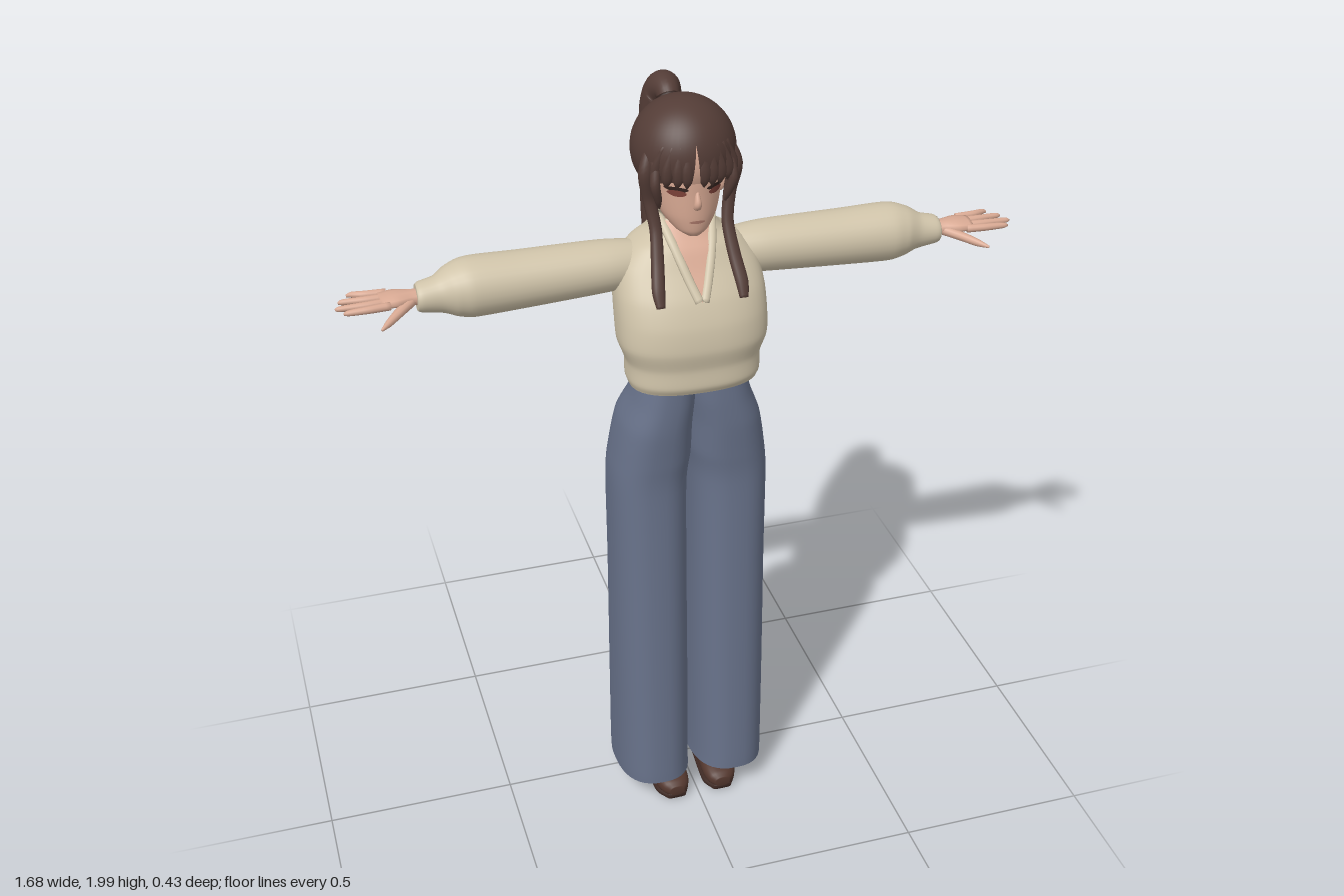
import * as THREE from 'three';

const mat = (name, color) => {
  const m = new THREE.MeshStandardMaterial({ color, side: THREE.DoubleSide });
  m.name = name;
  return m;
};

// Smoothly refine rows of [x, y, z, radiusA, radiusB]
function sample(rows, k = 6) {
  const centre = new THREE.CatmullRomCurve3(rows.map(r => new THREE.Vector3(r[0], r[1], r[2])), false, 'catmullrom', 0.4);
  const radius = new THREE.CatmullRomCurve3(rows.map(r => new THREE.Vector3(r[3], r[4], 0)), false, 'catmullrom', 0.4);
  const n = (rows.length - 1) * k;
  return Array.from({ length: n + 1 }, (_, i) => ({ c: centre.getPoint(i / n), r: radius.getPoint(i / n) }));
}

const spow = (v, p) => Math.sign(v) * Math.abs(v) ** (2 / p);

// Skin superellipse rings along a path; axis fixes the ring direction
function loft(rows, { ref = [1, 0, 0], axis = null, n = 24, k = 6, power = 2, caps = true } = {}) {
  const rings = sample(rows, k), pos = [], idx = [], last = rings.length - 1;
  rings.forEach(({ c, r }, i) => {
    const T = axis ? new THREE.Vector3(...axis)
      : rings[Math.min(i + 1, last)].c.clone().sub(rings[Math.max(i - 1, 0)].c).normalize();
    const S = new THREE.Vector3(...ref);
    S.addScaledVector(T, -S.dot(T)).normalize();
    const N = T.clone().cross(S);
    for (let j = 0; j < n; j++) {
      const a = j / n * Math.PI * 2;
      const p = c.clone().addScaledVector(S, r.x * spow(Math.cos(a), power)).addScaledVector(N, r.y * spow(Math.sin(a), power));
      pos.push(p.x, p.y, p.z);
      if (i < last) {
        const b = (j + 1) % n, o = i * n;
        idx.push(o + j, o + b, o + n + b, o + j, o + n + b, o + n + j);
      }
    }
  });
  if (caps) {
    const e = pos.length / 3, o = last * n;
    pos.push(...rings[0].c.toArray(), ...rings[last].c.toArray());
    for (let j = 0; j < n; j++) {
      const b = (j + 1) % n;
      idx.push(e, b, j, e + 1, o + j, o + b);
    }
  }
  return finish(pos, idx);
}

function finish(pos, idx) {
  const g = new THREE.BufferGeometry();
  g.setAttribute('position', new THREE.Float32BufferAttribute(pos, 3));
  g.setIndex(idx);
  g.computeVertexNormals();
  return g;
}

// Grid surface from a rule; u runs right, v runs up
function patch(fn, nu, nv) {
  const pos = [], idx = [];
  for (let j = 0; j <= nv; j++) for (let i = 0; i <= nu; i++) {
    pos.push(...fn(i / nu, j / nv));
    if (i < nu && j < nv) {
      const a = j * (nu + 1) + i, b = a + nu + 1;
      idx.push(a, a + 1, b + 1, a, b + 1, b);
    }
  }
  return finish(pos, idx);
}

// Front z of an upright loft at (x, y)
function frontZ(rows, x, y, power) {
  const d = sample(rows);
  let i = d.findIndex(s => s.c.y >= y);
  if (i < 1) i = i < 0 ? d.length - 1 : 1;
  const a = d[i - 1], b = d[i], t = Math.min(1, Math.max(0, (y - a.c.y) / (b.c.y - a.c.y)));
  const c = a.c.clone().lerp(b.c, t), r = a.r.clone().lerp(b.r, t);
  return c.z + r.y * Math.max(0, 1 - Math.abs((x - c.x) / r.x) ** power) ** (1 / power);
}

export function createModel() {
  const root = new THREE.Group();
  root.name = 'standingWoman';
  const skin = mat('skin', 0xd9aa94), hair = mat('hair', 0x533c36), knit = mat('sweater', 0xcfc3a9);
  const denim = mat('denim', 0x68728a), leather = mat('shoe', 0x53372e), sole = mat('sole', 0x3f2a24);
  const iris = mat('iris', 0x7d4239), lash = mat('lash', 0x33231f), lip = mat('lip', 0xad7a6b);
  const add = (name, geo, m) => {
    const mesh = new THREE.Mesh(geo, m);
    mesh.name = name;
    root.add(mesh);
    return mesh;
  };
  const up = [0, 1, 0];

  // Sweater body
  const torso = [
    [0, 1.305, .10, .160, .100], [0, 1.325, .10, .166, .108], [0, 1.37, .10, .167, .106], [0, 1.42, .097, .184, .117],
    [0, 1.48, .085, .186, .120], [0, 1.54, .067, .184, .113], [0, 1.60, .042, .172, .098], [0, 1.645, .030, .135, .083],
    [0, 1.67, .022, .092, .069], [0, 1.705, .016, .066, .052]];
  add('sweaterBody', loft(torso, { axis: up, n: 48, power: 2.5, caps: false }), knit);

  // V neckline and its folded edge
  const neckW = v => .056 * v ** .9;
  const vz = (x, y, off) => frontZ(torso, x, y, 2.5) + off;
  add('neckline', patch((u, v) => {
    const y = 1.54 + .163 * v, x = (u * 2 - 1) * neckW(v);
    return [x, y, vz(x, y, .004)];
  }, 10, 16), skin);
  for (const s of [1, -1]) {
    const edge = [0, .25, .5, .75, 1].map(v => {
      const y = 1.54 + .163 * v, x = s * (neckW(v) + .006);
      return [x, y, vz(x, y, .002), .011, .007];
    });
    add('collarEdge', loft([...edge, [s * .067, 1.705, .01, .01, .008], [s * .04, 1.705, -.026, .01, .008], [0, 1.705, -.036, .01, .008]], { ref: [1, 0, .2], n: 10 }), knit);
  }
  add('neck', loft([[0, 1.60, .015, .05, .045], [0, 1.67, .02, .042, .042], [0, 1.77, .03, .042, .045]], { axis: up }), skin);

  // Head and face
  const head = [
    [0, 1.685, .105, .018, .020], [0, 1.70, .088, .042, .045], [0, 1.735, .060, .068, .078], [0, 1.79, .042, .082, .098],
    [0, 1.85, .032, .091, .108], [0, 1.92, .025, .08, .095], [0, 1.965, .02, .04, .05]];
  add('head', loft(head, { axis: up, n: 32 }), skin);
  const decal = (name, x, y, w, h, m, off = .004) => add(name, patch((u, v) => {
    const a = (u * 2 - 1), px = x + a * w, py = y + (v * 2 - 1) * h * Math.sqrt(Math.max(.05, 1 - a * a));
    return [px, py, frontZ(head, px, py, 2) + off];
  }, 8, 4), m);
  add('nose', loft([[0, 1.80, .135, .005, .006], [0, 1.775, .143, .009, .010], [0, 1.762, .136, .010, .009]], { n: 10 }), skin);
  decal('mouth', 0, 1.727, .019, .004, lip);
  for (const s of [1, -1]) {
    decal('upperLash', s * .046, 1.809, .024, .006, lash);
    decal('eye', s * .046, 1.800, .019, .008, iris, .006);
    const ear = add('ear', new THREE.SphereGeometry(1, 14, 10), skin);
    ear.scale.set(.012, .04, .024);
    ear.position.set(s * .09, 1.785, .015);
    ear.rotation.set(-.2, s * .35, 0);
  }

  // Hair cap, low at the nape and high over the face
  const capAt = (phi, th) => [.124 * Math.sin(th) * Math.sin(phi), 1.87 + .122 * Math.cos(th), .023 + .128 * Math.sin(th) * Math.cos(phi)];
  add('hairCap', patch((u, v) => {
    const phi = (u * 2 - 1) * Math.PI, limit = 1.88 + .82 * (1 - Math.cos(phi)) / 2;
    return capAt(phi, (1 - v) * limit);
  }, 48, 24), hair);
  const capZ = (x, y) => .023 + .128 * Math.sqrt(Math.max(0, 1 - (x / .124) ** 2 - ((y - 1.87) / .122) ** 2));
  add('parting', patch((u, v) => {
    const y = 1.825 + .095 * v, x = -.006 + (u - .5) * .02 * (1 - v);
    return [x, y, capZ(x, y) + .004];
  }, 2, 10), skin);

  // Fringe tufts
  for (const x of [-.088, -.066, -.044, -.024, .014, .034, .055, .076, .092]) {
    add('fringe', loft([[x * .8, 1.91, capZ(x * .8, 1.91) - .006, .008, .005], [x, 1.86, capZ(x, 1.86) - .003, .014, .007],
      [x * 1.04, 1.832, capZ(x, 1.84), .012, .006], [x * 1.06, 1.813, capZ(x, 1.83) - .003, .002, .002]], { n: 8, k: 4 }), hair);
  }

  for (const s of [1, -1]) {
    // Long locks beside the face
    add('sideLock', loft([[s * .092, 1.90, .07, .012, .012], [s * .108, 1.84, .085, .018, .016], [s * .098, 1.77, .078, .016, .013],
      [s * .088, 1.70, .095, .015, .012], [s * .094, 1.63, .13, .016, .012], [s * .102, 1.575, .165, .016, .011], [s * .102, 1.54, .186, .011, .007]],
      { n: 12 }), hair);
    add('templeCurl', loft([[s * .088, 1.87, .10, .012, .01], [s * .094, 1.82, .115, .012, .012], [s * .085, 1.78, .108, .009, .008],
      [s * .08, 1.755, .098, .003, .003]], { n: 10 }), hair);

    // Sleeve with gathered cuff
    add('sleeve', loft([[s * .10, 1.59, .03, .052, .055], [s * .2, 1.592, .030, .066, .063], [s * .4, 1.588, .032, .071, .069],
      [s * .52, 1.587, .034, .073, .072], [s * .565, 1.586, .039, .062, .062], [s * .60, 1.584, .044, .043, .045],
      [s * .64, 1.583, .046, .039, .036], [s * .65, 1.583, .046, .034, .031]], { ref: [0, 0, 1], n: 28 }), knit);

    // Hand
    const limb = (name, rows) => add(name, loft(rows.map(([x, ...r]) => [s * x, ...r]), { ref: [0, 0, 1], n: 10, k: 4 }), skin);
    limb('palm', [[.63, 1.583, .046, .024, .020], [.665, 1.587, .048, .027, .017], [.70, 1.590, .051, .039, .015], [.735, 1.590, .053, .036, .011]]);
    [[.012, -.002, .805], [.036, .03, .828], [.060, .062, .838], [.082, .088, .822]].forEach(([z, tz, tx]) => {
      limb('finger', [[.715, 1.590, z + .004, .010, .010], [.765, 1.591, (z + tz) / 2 + .008, .009, .009],
        [tx - .012, 1.589, tz + .004, .007, .007], [tx, 1.587, tz + .003, .002, .003]]);
    });
    limb('thumb', [[.66, 1.583, .06, .012, .012], [.695, 1.577, .095, .013, .011], [.725, 1.570, .128, .009, .009], [.746, 1.566, .152, .003, .003]]);

    // Wide trouser leg with a hem that rises to the front
    const leg = loft([[s * .105, .062, .047, .098, .152], [s * .106, .12, .047, .098, .151], [s * .106, .4, .048, .098, .141],
      [s * .106, .75, .047, .097, .129], [s * .106, 1.0, .047, .098, .120], [s * .097, 1.09, .052, .098, .120], [s * .088, 1.18, .060, .090, .119],
      [s * .073, 1.25, .076, .078, .104], [s * .062, 1.325, .09, .066, .088]], { axis: up, n: 40, power: 2.5, caps: false });
    const p = leg.attributes.position;
    for (let i = 0; i < p.count; i++) {
      const fade = Math.max(0, 1 - (p.getY(i) - .06) / .3);
      p.setY(i, p.getY(i) + (p.getZ(i) - .047) * .115 * fade);
    }
    leg.computeVertexNormals();
    add('trouserLeg', leg, denim);

    // Ankle and shoe
    add('ankle', loft([[s * .067, .05, -.005, .028, .032], [s * .07, .15, -.005, .03, .034], [s * .08, .4, .01, .045, .05]], { axis: up, n: 16 }), skin);
    add('shoe', loft([[s * .064, .048, -.058, .022, .030], [s * .065, .052, -.04, .037, .040], [s * .067, .050, .02, .040, .040],
      [s * .07, .046, .09, .046, .036], [s * .069, .040, .15, .046, .028], [s * .067, .036, .18, .036, .022], [s * .066, .032, .195, .02, .014]],
      { axis: [0, 0, 1], n: 24, power: 2.4 }), leather);
    add('shoeSole', loft([[s * .064, .010, -.06, .024, .010], [s * .065, .010, -.04, .037, .010], [s * .067, .010, .02, .039, .010],
      [s * .07, .010, .09, .047, .010], [s * .068, .010, .15, .046, .010], [s * .066, .012, .19, .026, .008]],
      { axis: [0, 0, 1], n: 16, power: 4 }), sole);
    const heel = add('heel', new THREE.BoxGeometry(.066, .024, .05), sole);
    heel.position.set(s * .065, .012, -.028);
  }

  // Ponytail arching up, then hanging behind the back
  add('ponytail', loft([[0, 1.925, -.075, .022, .022], [0, 1.955, -.105, .030, .030], [0, 1.950, -.140, .044, .044], [0, 1.90, -.160, .052, .050],
    [0, 1.78, -.158, .055, .053], [0, 1.62, -.148, .054, .053], [0, 1.50, -.130, .048, .045], [0, 1.41, -.110, .034, .030],
    [0, 1.355, -.098, .010, .010]], { n: 24 }), hair);
  for (const x of [-.024, 0, .024]) {
    add('ponytailTip', loft([[x, 1.50, -.125, .016, .02], [x * 1.1, 1.41, -.115, .014, .016], [x * .9, 1.36 + Math.abs(x) * .8, -.10, .003, .003]], { n: 8 }), hair);
  }
  const tie = add('hairTie', new THREE.TorusGeometry(.026, .008, 8, 20), lash);
  tie.position.set(0, 1.94, -.092);
  tie.rotation.x = .75;
  return root;
}
